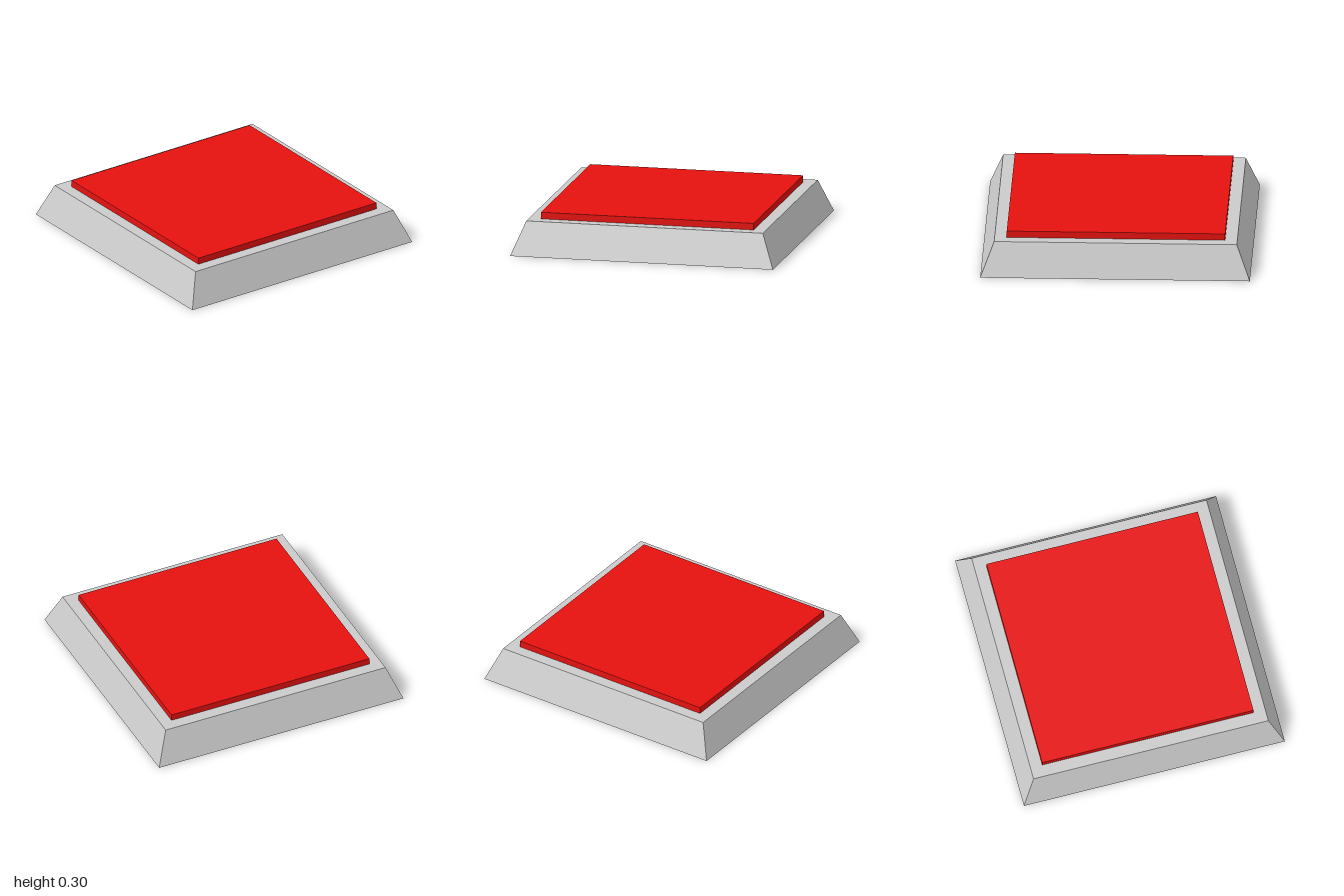
import * as THREE from 'three';

export function createModel() {
  const model = new THREE.Group();
  const baseHeight = 0.25, padHeight = 0.05, padWidth = 1.62;

  // Base: a square block whose top is drawn in to form sloping sides
  const baseGeometry = new THREE.BoxGeometry(2, baseHeight, 2);
  const position = baseGeometry.attributes.position;
  for (let i = 0; i < position.count; i++) {
    if (position.getY(i) > 0) {
      position.setX(i, position.getX(i) * 0.9);
      position.setZ(i, position.getZ(i) * 0.9);
    }
  }
  baseGeometry.computeVertexNormals();
  const base = new THREE.Mesh(
    baseGeometry,
    new THREE.MeshStandardMaterial({ color: 0xcccccc, flatShading: true })
  );
  base.name = 'base';
  base.position.y = baseHeight / 2;
  model.add(base);

  // Red pressure pad resting on the base
  const pad = new THREE.Mesh(
    new THREE.BoxGeometry(padWidth, padHeight, padWidth),
    new THREE.MeshStandardMaterial({ color: 0xe61210 })
  );
  pad.name = 'buttonPad';
  pad.position.y = baseHeight + padHeight / 2;
  model.add(pad);

  return model;
}
